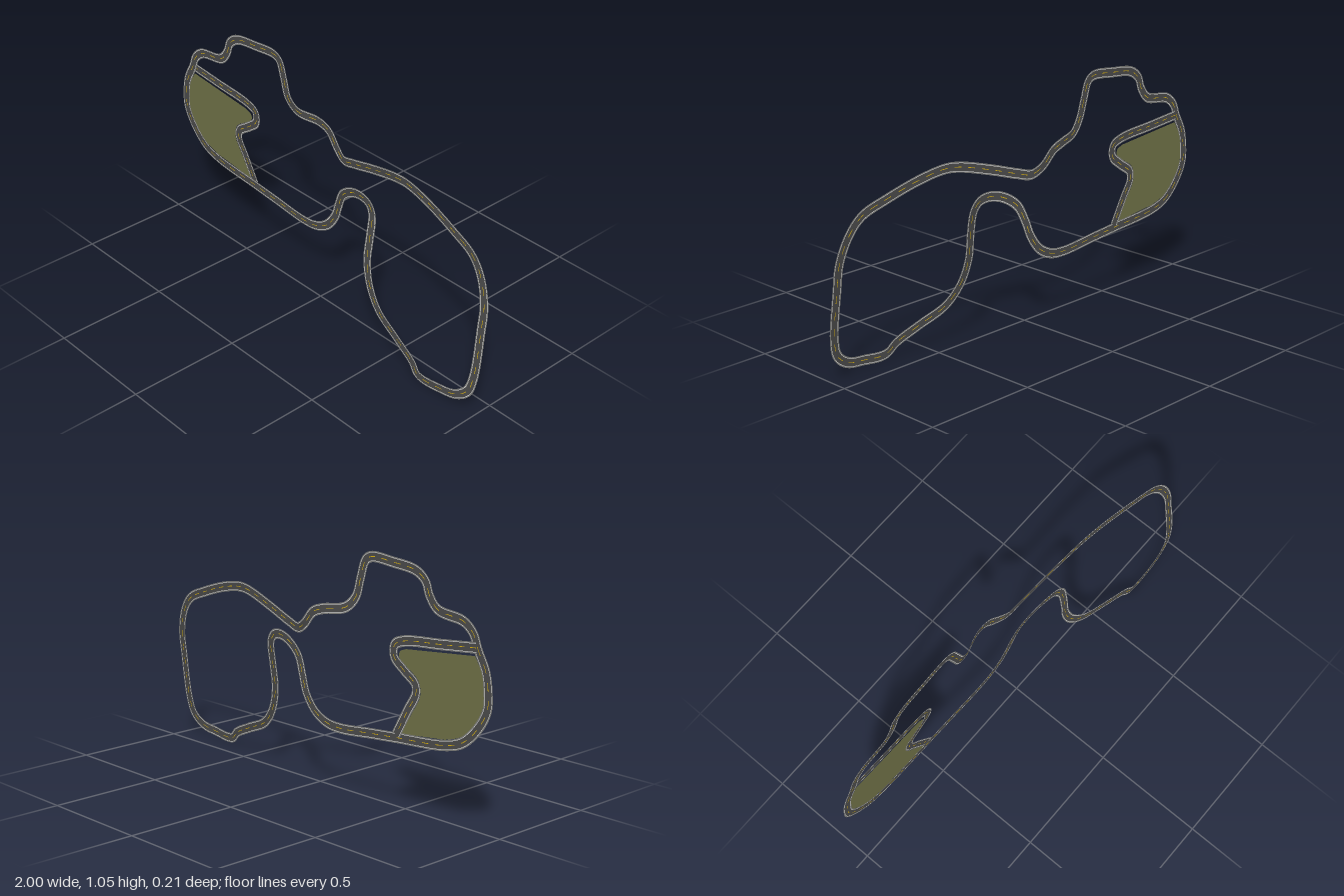
import * as THREE from 'three';

const FLAT = -0.061; // depth of the level western half

// Western half of the main loop, level: x, y
const WEST = [
  [-0.029, 0.332], [-0.099, 0.295], [-0.179, 0.286], [-0.366, 0.302], [-0.505, 0.314],
  [-0.767, 0.338], [-0.858, 0.37], [-0.938, 0.449], [-0.974, 0.519], [-0.977, 0.572],
  [-0.963, 0.663], [-0.922, 0.743], [-0.896, 0.802], [-0.848, 0.84], [-0.714, 0.866],
  [-0.671, 0.914], [-0.65, 0.965], [-0.602, 1.0], [-0.473, 1.018], [-0.356, 1.024], [-0.324, 1.005],
];
// Eastern half, climbing and dipping: x, y, z
const EAST = [
  [-0.297, 0.93, -0.061], [-0.27, 0.85, -0.061], [-0.222, 0.802, -0.072], [-0.126, 0.786, -0.1],
  [-0.067, 0.765, -0.104], [-0.008, 0.706, -0.098], [0.045, 0.679, -0.086], [0.115, 0.695, -0.077],
  [0.249, 0.736, -0.06], [0.409, 0.777, -0.038], [0.479, 0.782, -0.03], [0.596, 0.763, -0.018],
  [0.757, 0.715, 0], [0.874, 0.668, 0.014], [0.933, 0.599, 0.024], [0.971, 0.492, 0.039],
  [0.976, 0.385, 0.053], [0.976, 0.171, 0.08], [0.955, 0.096, 0.089], [0.896, 0.05, 0.096],
  [0.81, 0.034, 0.101], [0.725, 0.024, 0.1], [0.687, 0.031, 0.098], [0.65, 0.064, 0.09],
  [0.543, 0.112, 0.073], [0.409, 0.171, 0.05], [0.34, 0.251, 0.034], [0.307, 0.353, 0.02],
  [0.307, 0.465, 0.007], [0.302, 0.561, -0.008], [0.275, 0.599, -0.015], [0.227, 0.61, -0.022],
  [0.158, 0.594, -0.033], [0.088, 0.545, -0.045], [0.051, 0.471, -0.055], [0.024, 0.401, -0.06],
];
// Link road across the western end
const LINK = [
  [-0.912, 0.749], [-0.741, 0.733], [-0.537, 0.713], [-0.489, 0.69], [-0.487, 0.642],
  [-0.537, 0.599], [-0.602, 0.551], [-0.607, 0.513], [-0.564, 0.438], [-0.502, 0.327],
];
// Infield outline: east side beside the link, then west side beside the loop
const FIELD_EAST = [
  [-0.55, 0.683], [-0.518, 0.668], [-0.515, 0.645], [-0.55, 0.617],
  [-0.62, 0.567], [-0.63, 0.508], [-0.584, 0.426], [-0.53, 0.336],
];
const FIELD_WEST = [
  [-0.764, 0.36], [-0.848, 0.39], [-0.919, 0.461], [-0.952, 0.525],
  [-0.955, 0.572], [-0.943, 0.655], [-0.908, 0.717],
];

const paint = (name, color) => {
  const m = new THREE.MeshStandardMaterial({ color, side: THREE.DoubleSide });
  m.name = name;
  return m;
};

const spline = (pts, closed, z = FLAT) => new THREE.CatmullRomCurve3(
  pts.map(([x, y, d = z]) => new THREE.Vector3(x, y, d)), closed, 'centripetal');

// Flat strip between two sideways offsets; keep(i) picks the steps to build
function strip(curve, steps, lo, hi, keep = () => true) {
  const pos = [], index = [];
  for (let i = 0; i <= steps; i++) {
    const p = curve.getPointAt(i / steps);
    const t = curve.getTangentAt(i / steps);
    const len = Math.hypot(t.x, t.y);
    for (const o of [lo, hi]) pos.push(p.x - (t.y / len) * o, p.y + (t.x / len) * o, p.z);
    if (i < steps && keep(i)) {
      const a = i * 2;
      index.push(a, a + 2, a + 1, a + 1, a + 2, a + 3);
    }
  }
  const g = new THREE.BufferGeometry();
  g.setAttribute('position', new THREE.Float32BufferAttribute(pos, 3));
  g.setIndex(index);
  g.computeVertexNormals();
  return g;
}

export function createModel() {
  const model = new THREE.Group();
  model.name = 'raceTrack';
  const asphalt = paint('asphalt', 0x4a4a4a);
  const shoulder = paint('shoulderGrey', 0x7c7c78);
  const line = paint('edgeLine', 0xe8e8e8);
  const yellow = paint('centreYellow', 0xd8b010);
  const grass = paint('olive', 0x6e7046);

  // Road made of side by side bands
  function road(name, curve, steps) {
    const group = new THREE.Group();
    group.name = name;
    const add = (part, mat, lo, hi, keep) => {
      const mesh = new THREE.Mesh(strip(curve, steps, lo, hi, keep), mat);
      mesh.name = part;
      group.add(mesh);
    };
    const dash = (i) => i % 8 < 4;
    for (const s of [-1, 1]) {
      const band = (part, mat, a, b) => add(part, mat, Math.min(s * a, s * b), Math.max(s * a, s * b));
      band('lane', asphalt, 0.0014, 0.0155);
      band('edgeLine', line, 0.0155, 0.0175);
      band('shoulder', shoulder, 0.0175, 0.0225);
    }
    add('centreDashes', yellow, -0.0014, 0.0014, dash);
    add('centreGaps', asphalt, -0.0014, 0.0014, (i) => !dash(i));
    model.add(group);
  }
  road('mainLoop', spline([...WEST, ...EAST], true), 640);
  road('linkRoad', spline(LINK, false, FLAT - 0.0004), 120);

  // Grass infield, leaving a narrow gap under the link road
  const outline = [
    ...spline(FIELD_EAST, false).getPoints(40),
    ...spline(FIELD_WEST, false).getPoints(40),
  ].map((p) => new THREE.Vector2(p.x, p.y));
  const infield = new THREE.Mesh(new THREE.ShapeGeometry(new THREE.Shape(outline)), grass);
  infield.name = 'infield';
  infield.position.z = FLAT;
  model.add(infield);

  return model;
}
